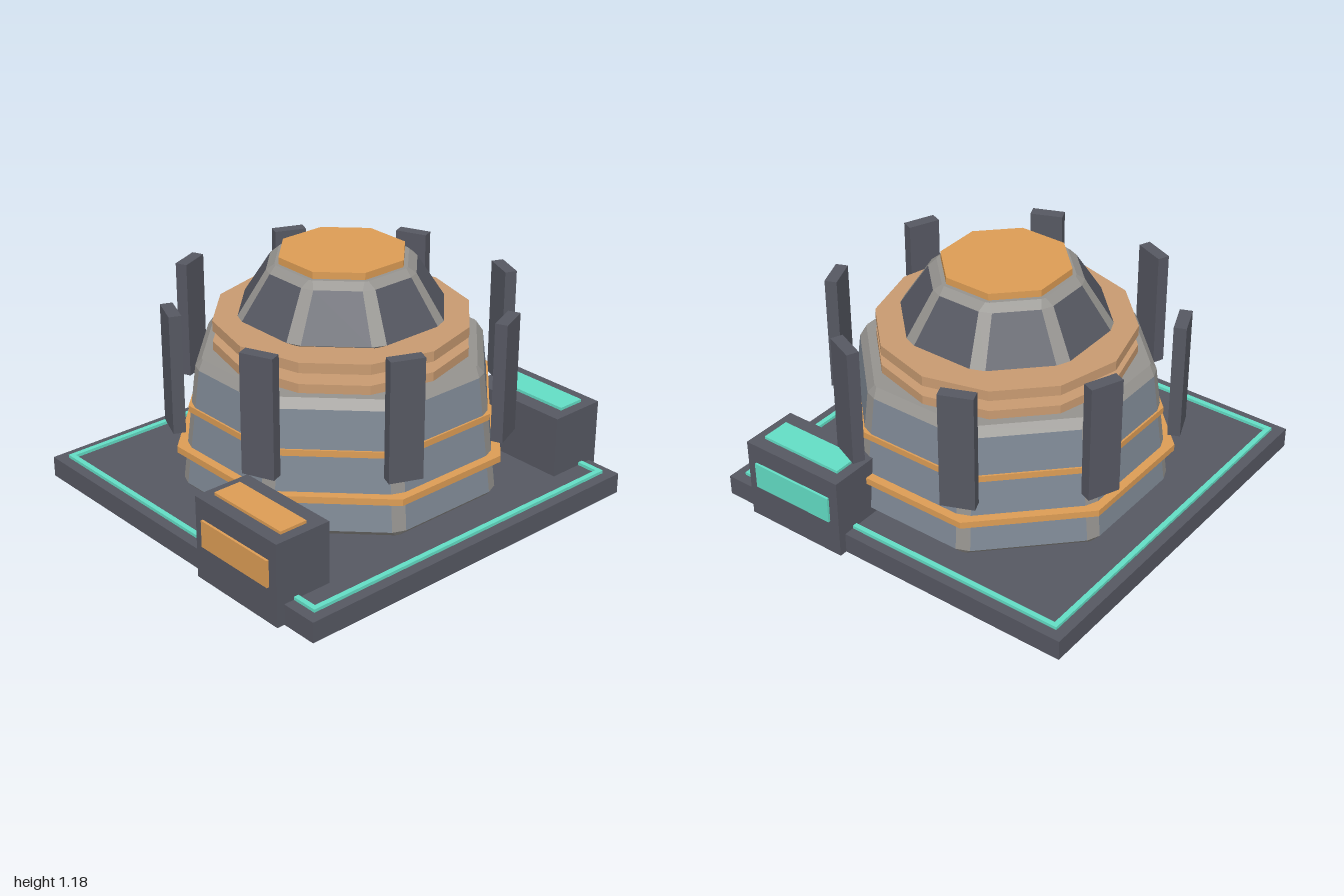
import * as THREE from 'three';

const mat = (color) => new THREE.MeshStandardMaterial({ color, flatShading: true });
const DARK = mat(0x565862), SLATE = mat(0x7f8995), TRIM = mat(0x95938f);
const ORANGE = mat(0xdd9d55), TAN = mat(0xc99b71), TEAL = mat(0x63dec6);
const T = Math.tan(Math.PI / 8);

function add(parent, name, geometry, material) {
  const mesh = new THREE.Mesh(geometry, material);
  mesh.name = name;
  parent.add(mesh);
  return mesh;
}

// Box given by its minimum and maximum corners
function box(parent, name, min, max, material) {
  const [w, h, d] = max.map((v, i) => v - min[i]);
  const g = new THREE.BoxGeometry(w, h, d);
  g.translate(min[0] + w / 2, min[1] + h / 2, min[2] + d / 2);
  return add(parent, name, g, material);
}

// Flat prism between two heights
function disc(parent, name, radius, sides, y0, y1, turn, material) {
  const g = new THREE.CylinderGeometry(radius, radius, y1 - y0, sides);
  g.rotateY(turn);
  g.translate(0, (y0 + y1) / 2, 0);
  return add(parent, name, g, material);
}

// Octagonal slab with flats facing the axes
const octagon = (parent, name, apothem, y0, y1, material) =>
  disc(parent, name, apothem / Math.cos(Math.PI / 8), 8, y0, y1, Math.PI / 8, material);

// Octagonal drum with bevelled edges; levels are [y, apothem, corner cut]
function bevelledDrum(parent, name, levels, panelMaterial) {
  const loops = levels.map(([y, a, cut]) => {
    const pts = [];
    for (let k = 0; k < 8; k++) {
      for (const s of [-1, 1]) {
        const h = s * (a * T - cut), t = k * Math.PI / 4;
        pts.push([a * Math.cos(t) - h * Math.sin(t), y, a * Math.sin(t) + h * Math.cos(t)]);
      }
    }
    return pts;
  });
  const panels = [], trim = [];
  const last = loops.length - 1;
  for (let i = 0; i < 16; i++) {
    const j = (i + 1) % 16;
    for (let l = 0; l < last; l++) {
      const [a, b, c, d] = [loops[l][i], loops[l + 1][i], loops[l + 1][j], loops[l][j]];
      const isPanel = l === 1 && i % 2 === 0;
      (isPanel ? panels : trim).push(...a, ...b, ...c, ...a, ...c, ...d);
    }
    trim.push(0, levels[last][0], 0, ...loops[last][j], ...loops[last][i]);
    trim.push(0, levels[0][0], 0, ...loops[0][i], ...loops[0][j]);
  }
  const build = (list) => {
    const g = new THREE.BufferGeometry();
    g.setAttribute('position', new THREE.Float32BufferAttribute(list, 3));
    g.computeVertexNormals();
    return g;
  };
  add(parent, name + 'Panels', build(panels), panelMaterial);
  add(parent, name + 'Trim', build(trim), TRIM);
}

export function createModel() {
  const model = new THREE.Group();
  model.name = 'domedBuilding';

  // Base plate and its glowing border
  box(model, 'basePlate', [-0.95, 0, -0.95], [0.95, 0.1, 0.95], DARK);
  const square = (path, r) =>
    path.moveTo(-r, -r).lineTo(r, -r).lineTo(r, r).lineTo(-r, r).closePath();
  const frame = new THREE.Shape();
  square(frame, 0.898);
  const hole = new THREE.Path();
  square(hole, 0.873);
  frame.holes.push(hole);
  const border = new THREE.ExtrudeGeometry(frame, { depth: 0.025, bevelEnabled: false });
  border.rotateX(-Math.PI / 2);
  border.translate(0, 0.09, 0);
  add(model, 'borderStrip', border, TEAL);

  // Tower, set slightly back on the plate
  const tower = new THREE.Group();
  tower.name = 'tower';
  tower.position.z = -0.054;
  model.add(tower);
  bevelledDrum(tower, 'lowerDrum',
    [[0.112, 0.69, 0.01], [0.14, 0.717, 0.036], [0.7, 0.652, 0.034], [0.742, 0.62, 0.01]], SLATE);
  octagon(tower, 'lowerRing', 0.738, 0.288, 0.32, ORANGE);
  octagon(tower, 'upperRing', 0.682, 0.488, 0.518, ORANGE);
  disc(tower, 'lowerDisc', 0.6, 12, 0.738, 0.785, 0, TAN);
  disc(tower, 'upperDisc', 0.6, 12, 0.837, 0.886, 0, TAN);
  bevelledDrum(tower, 'dome',
    [[0.893, 0.425, 0.01], [0.913, 0.464, 0.038], [1.122, 0.337, 0.032], [1.152, 0.298, 0.01]], DARK);
  octagon(tower, 'domeCap', 0.279, 1.15, 1.185, ORANGE);

  // Ring of upright fins
  for (let k = 0; k < 8; k++) {
    const pivot = new THREE.Group();
    pivot.name = 'fin' + (k + 1);
    pivot.rotation.y = Math.PI / 8 + k * Math.PI / 4;
    box(pivot, 'finPlate', [-0.079, 0.427, 0.774], [0.079, 1, 0.832], DARK);
    tower.add(pivot);
  }

  // Front and back entrance blocks with lit panels
  for (const [name, s, light] of [['front', 1, ORANGE], ['back', -1, TEAL]]) {
    const part = (label, x0, x1, y0, y1, z0, z1, m) =>
      box(model, name + label, [x0, y0, Math.min(s * z0, s * z1)],
        [x1, y1, Math.max(s * z0, s * z1)], m);
    part('Block', 0.23, 0.768, 0, 0.4, 0.702, 0.988, DARK);
    part('RoofPanel', 0.28, 0.718, 0.39, 0.414, 0.783, 0.923, light);
    part('WallPanel', 0.28, 0.718, 0.175, 0.305, 0.975, 1, light);
  }
  return model;
}
